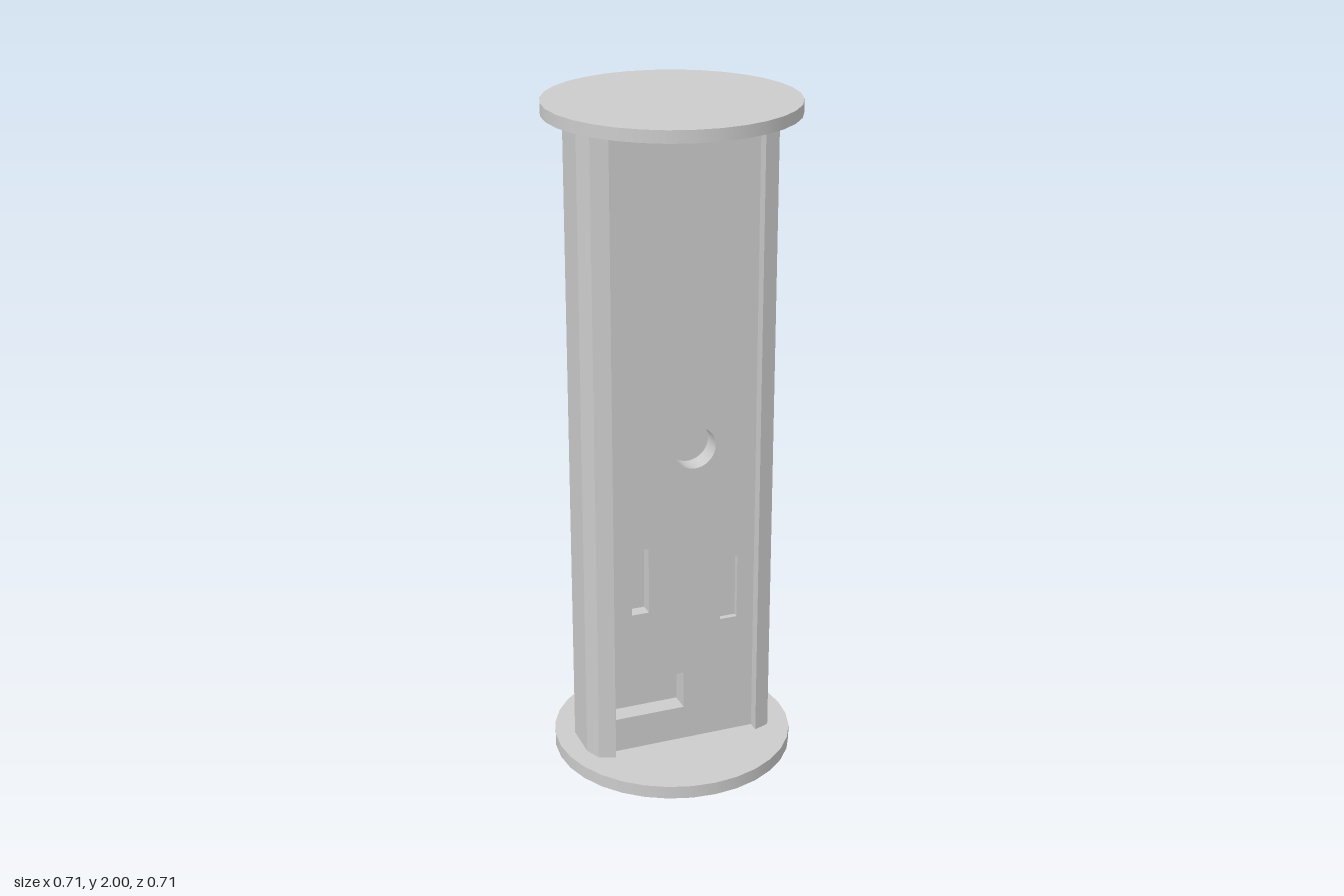
import * as THREE from 'three';

const material = new THREE.MeshStandardMaterial({ color: 0xcccccc });
const Y0 = 0.06, Y1 = 1.965;      // column bottom and top
const HALF_W = 0.225, PANEL_Z = 0.09, POCKET = 0.06;

function add(parent, name, geometry, x = 0, y = 0, z = 0) {
  const mesh = new THREE.Mesh(geometry, material);
  mesh.name = name;
  mesh.position.set(x, y, z);
  parent.add(mesh);
  return mesh;
}

function disc(parent, name, radius, y0, y1) {
  add(parent, name, new THREE.CylinderGeometry(radius, radius, y1 - y0, 32), 0, (y0 + y1) / 2, 0);
}

function rectPath(x0, y0, x1, y1) {
  return new THREE.Path([[x0, y0], [x0, y1], [x1, y1], [x1, y0]].map(p => new THREE.Vector2(...p)));
}

export function createModel() {
  const model = new THREE.Group();
  model.name = 'pedestal';

  // End discs and the smaller foot
  disc(model, 'foot', 0.315, 0, 0.023);
  disc(model, 'baseDisc', 0.357, 0.023, 0.062);
  disc(model, 'topDisc', 0.357, Y1, 2);

  // Faceted side posts, standing proud of the panel
  const half = [[0.225, 0.124], [0.272, 0.107], [0.293, 0.057]];
  const outline = [...half.map(([x, z]) => [x, -z]), ...half.reverse()];
  const profile = new THREE.Shape(outline.map(p => new THREE.Vector2(...p)));
  const postGeometry = new THREE.ExtrudeGeometry(profile, { depth: Y1 - Y0, bevelEnabled: false });
  postGeometry.rotateX(-Math.PI / 2);
  add(model, 'leftPost', postGeometry, 0, Y0, 0);
  add(model, 'rightPost', postGeometry, 0, Y0, 0).rotation.y = Math.PI;

  // Solid back of the panel
  const coreDepth = 2 * PANEL_Z - POCKET;
  add(model, 'panelCore', new THREE.BoxGeometry(2 * HALF_W, Y1 - Y0, coreDepth),
    0, (Y0 + Y1) / 2, -PANEL_Z + coreDepth / 2);

  // Front of the panel with its cutouts: x0, y0, x1, y1, depth
  const slots = [
    [-0.159, 0.508, -0.106, 0.714, 0.04],
    [0.119, 0.444, 0.172, 0.645, 0.016],
    [-0.212, 0.169, 0.003, 0.286, POCKET],
  ];
  const face = new THREE.Shape([[-HALF_W, Y0], [HALF_W, Y0], [HALF_W, Y1], [-HALF_W, Y1]]
    .map(p => new THREE.Vector2(...p)));
  const round = new THREE.Path();
  round.absarc(0.037, 1.008, 0.063, 0, Math.PI * 2, true);
  face.holes.push(round, ...slots.map(s => rectPath(...s)));
  add(model, 'frontPanel',
    new THREE.ExtrudeGeometry(face, { depth: POCKET, bevelEnabled: false, curveSegments: 32 }),
    0, 0, PANEL_Z - POCKET);

  // Raised floors of the shallower slots
  for (const [x0, y0, x1, y1, depth] of slots) {
    const fill = POCKET - depth;
    if (fill <= 0) continue;
    add(model, 'slotFloor', new THREE.BoxGeometry(x1 - x0, y1 - y0, fill),
      (x0 + x1) / 2, (y0 + y1) / 2, PANEL_Z - POCKET + fill / 2);
  }
  return model;
}
